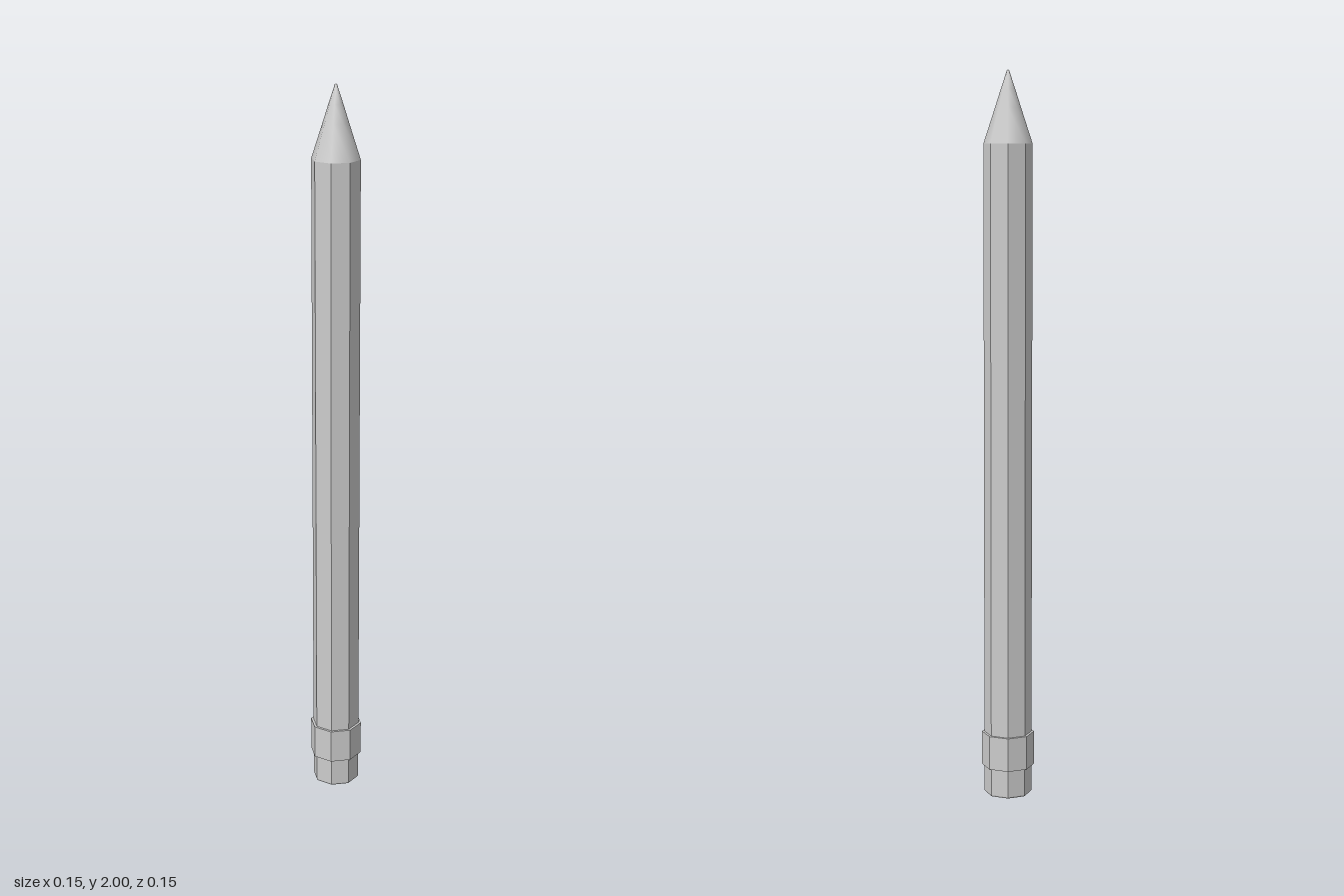
import * as THREE from 'three';

const SIDES = 8;

export function createModel() {
  const pencil = new THREE.Group();
  pencil.name = 'pencil';

  // Eight-sided section turned around y, with corners on the x and z axes
  const addPart = (name, profile, flatShading) => {
    const points = profile.map(([r, y]) => new THREE.Vector2(r, y));
    const material = new THREE.MeshStandardMaterial({ color: 0xcccccc, flatShading });
    const mesh = new THREE.Mesh(new THREE.LatheGeometry(points, SIDES), material);
    mesh.name = name;
    pencil.add(mesh);
  };

  // Eraser end, closed underneath
  addPart('eraser', [[0, 0], [0.064, 0], [0.066, 0.004], [0.066, 0.08]], true);

  // Raised metal band
  addPart('ferrule', [[0.066, 0.08], [0.073, 0.08], [0.073, 0.175], [0.066, 0.175]], true);

  // Long faceted shaft
  addPart('shaft', [[0.066, 0.175], [0.066, 1.805]], true);

  // Sharpened wood, smoothly shaded and slightly bowed
  addPart('sharpenedWood', [[0.066, 1.805], [0.035, 1.9], [0.019, 1.95]], false);

  // Lead with a tiny blunt end
  addPart('lead', [[0.019, 1.95], [0.003, 1.998], [0, 2]], false);

  return pencil;
}
